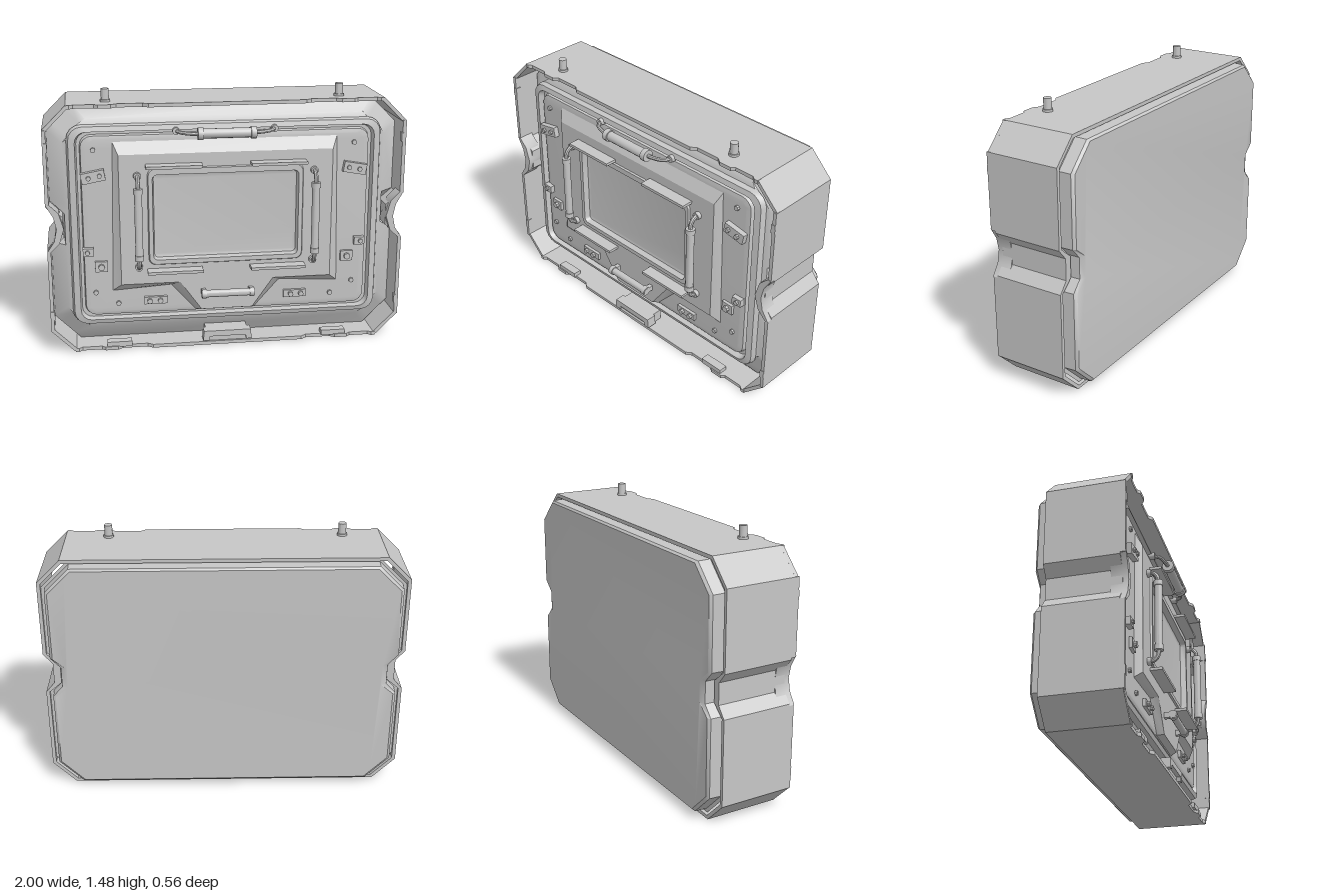
import * as THREE from 'three';
import { toCreasedNormals } from 'three/addons/utils/BufferGeometryUtils.js';

const V = (x, y, z) => new THREE.Vector3(x, y, z);

// Chamfered or rounded rectangle outline, counter-clockwise, with optional side notches
function outline(w, y0, y1, c, { round = false, notch = 0, cx = 0 } = {}) {
  const pts = [];
  const corner = (x, y, a) => {
    for (let i = 0; i <= 4; i++) {
      const t = i / 4, b = a + t * Math.PI / 2;
      const cs = Math.cos(a), sn = Math.sin(a);
      const u = round ? Math.cos(b) : cs * (1 - t) - sn * t;
      const v = round ? Math.sin(b) : sn * (1 - t) + cs * t;
      pts.push([cx + x + u * c, y + v * c]);
    }
  };
  const side = s => {
    const list = [[0, 0.61], [notch, 0.67], [notch, 0.79], [0, 0.85]];
    if (s < 0) list.reverse();
    list.forEach(([d, y]) => pts.push([cx + s * (w - d), y]));
  };
  corner(w - c, y0 + c, -Math.PI / 2);
  side(1);
  corner(w - c, y1 - c, 0);
  corner(-w + c, y1 - c, Math.PI / 2);
  side(-1);
  corner(-w + c, y0 + c, Math.PI);
  return pts;
}

const shapeOf = pts => new THREE.Shape(pts.map(p => new THREE.Vector2(p[0], p[1])));

// Skin between successive outlines, each given as [points, z]; optionally closed at the last
function loft(rings, cap = true) {
  const pos = [];
  for (let r = 0; r < rings.length - 1; r++) {
    const [A, za] = rings[r], [B, zb] = rings[r + 1];
    A.forEach((p, i) => {
      const j = (i + 1) % A.length;
      pos.push(...p, za, ...A[j], za, ...B[j], zb, ...p, za, ...B[j], zb, ...B[i], zb);
    });
  }
  if (cap) {
    const [P, z] = rings[rings.length - 1];
    const v = P.map(p => new THREE.Vector2(p[0], p[1]));
    THREE.ShapeUtils.triangulateShape(v, []).forEach(f => f.forEach(i => pos.push(...P[i], z)));
  }
  const g = new THREE.BufferGeometry();
  g.setAttribute('position', new THREE.Float32BufferAttribute(pos, 3));
  g.computeVertexNormals();
  return g;
}

const extrude = (shape, depth) => new THREE.ExtrudeGeometry(shape, { depth, bevelEnabled: false });

export function createModel() {
  const grey = new THREE.MeshStandardMaterial({ color: 0xc6c6c6 });
  grey.name = 'grey';
  const model = new THREE.Group();
  model.name = 'hatchCase';

  function add(name, geo, x = 0, y = 0, z = 0) {
    const m = new THREE.Mesh(toCreasedNormals(geo, 0.6), grey);
    m.name = name;
    m.position.set(x, y, z);
    model.add(m);
    return m;
  }
  const box = (name, w, h, d, x, y, z) => add(name, new THREE.BoxGeometry(w, h, d), x, y, z);
  // Cylinder along a chosen axis
  function rod(name, r, len, axis, x, y, z, sides = 14) {
    const g = new THREE.CylinderGeometry(r, r, len, sides);
    if (axis === 'x') g.rotateZ(Math.PI / 2);
    if (axis === 'z') g.rotateX(Math.PI / 2);
    return add(name, g, x, y, z);
  }
  const screw = (x, y, z, r = 0.013) => rod('screw', r, 0.02, 'z', x, y, z, 8);

  // Outer shell: hollow chamfered ring with grip notches
  const shell = shapeOf(outline(1, 0, 1.41, 0.13, { notch: 0.05 }));
  shell.holes.push(shapeOf(outline(0.98, 0.02, 1.39, 0.118, { notch: 0.07 })));
  add('shell', extrude(shell, 0.4), 0, 0, -0.215);

  // Notched rim along the top and bottom edges
  const half = [[0.43, 0.212], [0.46, 0.19], [0.6, 0.19], [0.63, 0.212], [0.7, 0.212],
    [0.72, 0.195], [0.83, 0.195], [0.85, 0.21], [0.87, 0.21], [0.87, 0.18]];
  const rim = [...half, ...half.map(([x, z]) => [-x, z]).reverse()];
  for (const y of [0, 1.39]) {
    const g = extrude(shapeOf(rim.map(([x, z]) => [x, -z])), 0.02);
    g.rotateX(-Math.PI / 2);
    add('rimEdge', g, 0, y, 0);
  }

  for (const s of [-1, 1]) {
    // Side and corner rims
    box('sideRim', 0.02, 0.47, 0.03, s * 0.99, 0.365, 0.197);
    box('sideRim', 0.02, 0.42, 0.03, s * 0.99, 1.07, 0.197);
    for (const [y, t] of [[0.072, 1], [1.338, -1]]) {
      const m = box('cornerRim', 0.18, 0.02, 0.02, s * 0.928, y, 0.195);
      m.rotation.z = s * t * Math.PI / 4;
    }
    for (const y of [0.225, 1.185]) box('edgeClip', 0.025, 0.05, 0.03, s * 0.987, y, 0.2);
    // Curved lip of the grip notch
    const lip = [[1, 0.6], [0.96, 0.66], [0.945, 0.73], [0.96, 0.8], [1, 0.87],
      [0.98, 0.87], [0.93, 0.82], [0.905, 0.73], [0.93, 0.65], [0.98, 0.6]];
    add('gripLip', extrude(shapeOf(lip.map(([x, y]) => [s * x, y])), 0.09), 0, 0, 0.125);
    // Pins on the top
    rod('pin', 0.022, 0.075, 'y', s * 0.645 - 0.012, 1.443, 0.11);
    rod('pinCollar', 0.028, 0.015, 'y', s * 0.645 - 0.012, 1.415, 0.11);
  }

  // Back cover, built facing forward and turned round
  const cover = add('backCover', loft([
    [outline(0.98, 0.02, 1.39, 0.143, { notch: 0.07 }), 0.195],
    [outline(0.958, 0.035, 1.382, 0.135, { notch: 0.055 }), 0.195],
    [outline(0.955, 0.037, 1.38, 0.135, { notch: 0.055 }), 0.262],
    [outline(0.94, 0.05, 1.37, 0.13, { notch: 0.07 }), 0.275],
  ]));
  cover.rotation.y = Math.PI;

  // Front panel: sloped surround, raised frame, groove and inner plate
  const R = { round: true };
  add('frontPanel', loft([
    [outline(0.98, 0.02, 1.39, 0.143, { notch: 0.07 }), 0.05],
    [outline(0.9, 0.11, 1.32, 0.13), 0.12],
    [outline(0.875, 0.14, 1.29, 0.08, R), 0.13],
    [outline(0.865, 0.147, 1.283, 0.075, R), 0.16],
    [outline(0.83, 0.172, 1.255, 0.06, R), 0.168],
    [outline(0.822, 0.178, 1.248, 0.06, R), 0.13],
    [outline(0.805, 0.192, 1.235, 0.06, R), 0.13],
    [outline(0.8, 0.198, 1.23, 0.06, R), 0.155],
    [outline(0.775, 0.212, 1.21, 0.05, R), 0.16],
  ]));

  // Raised centre plate with its lower apron
  const base = [[-0.65, 0.34], [-0.32, 0.36], [-0.18, 0.203], [0.16, 0.203], [0.3, 0.36],
    [0.64, 0.34], [0.62, 1.2], [-0.63, 1.2]];
  const face = [[-0.6, 0.385], [-0.27, 0.385], [-0.15, 0.215], [0.14, 0.215], [0.26, 0.385],
    [0.59, 0.385], [0.59, 1.13], [-0.6, 1.13]];
  add('centrePlateSlope', loft([[base, 0.158], [face, 0.195]], false));
  const C = { round: true, cx: -0.01 };
  const plate = shapeOf(face);
  plate.holes.push(shapeOf(outline(0.42, 0.515, 1.035, 0.03, C)));
  add('centrePlate', new THREE.ShapeGeometry(plate), 0, 0, 0.195);

  // Window bezel and sunken window
  add('window', loft([
    [outline(0.435, 0.495, 1.052, 0.04, C), 0.195],
    [outline(0.43, 0.5, 1.047, 0.038, C), 0.205],
    [outline(0.408, 0.525, 1.015, 0.025, C), 0.205],
    [outline(0.4, 0.532, 1.008, 0.02, C), 0.172],
    [outline(0.385, 0.545, 0.995, 0.012, C), 0.168],
  ]));

  // Slats above and below the window
  for (const x of [-0.3, 0.28]) for (const y of [1.067, 0.465])
    box('slat', 0.31, 0.016, 0.07, x, y, 0.227);

  // Upright handles on bent stems
  for (const x of [-0.5, 0.485]) {
    rod('handleBar', 0.022, 0.4, 'y', x, 0.75, 0.255);
    for (const s of [-1, 1]) {
      rod('handleCollar', 0.026, 0.03, 'y', x, 0.75 + s * 0.19, 0.255);
      const path = new THREE.CatmullRomCurve3([V(x, 0.75 + s * 0.2, 0.255),
        V(x, 0.75 + s * 0.235, 0.25), V(x, 0.75 + s * 0.26, 0.225), V(x, 0.75 + s * 0.262, 0.19)]);
      add('handleStem', new THREE.TubeGeometry(path, 10, 0.012, 8));
      rod('handleFoot', 0.021, 0.025, 'z', x, 0.75 + s * 0.262, 0.205);
    }
  }

  // Top handle across the frame
  rod('topHandle', 0.027, 0.32, 'x', -0.01, 1.243, 0.232);
  for (const s of [-1, 1]) {
    rod('topHandleCollar', 0.034, 0.03, 'x', -0.01 + s * 0.145, 1.243, 0.232);
    const X = d => -0.01 + s * d;
    const path = new THREE.CatmullRomCurve3([V(X(0.15), 1.243, 0.232), V(X(0.2), 1.243, 0.225),
      V(X(0.255), 1.248, 0.205), V(X(0.272), 1.25, 0.15)]);
    add('topHandleStem', new THREE.TubeGeometry(path, 10, 0.011, 8));
    rod('topHandleFoot', 0.02, 0.04, 'z', X(0.272), 1.25, 0.165);
  }

  // Lower handle on the apron
  rod('lowerHandle', 0.021, 0.3, 'x', -0.005, 0.325, 0.243);
  for (const s of [-1, 1]) {
    rod('lowerHandleCollar', 0.026, 0.025, 'x', -0.005 + s * 0.135, 0.325, 0.243);
    box('lowerHandleMount', 0.025, 0.03, 0.05, -0.005 + s * 0.135, 0.325, 0.215);
  }

  // Brackets, clips and screws on both sides of the inner plate
  for (const s of [-1, 1]) {
    const X = x => s * x - 0.008;
    const arm = box('bracket', 0.13, 0.06, 0.03, X(0.73), 1.01, 0.175);
    arm.rotation.z = -s * 0.18;
    screw(X(0.695), 1.017, 0.193);
    screw(X(0.755), 1.005, 0.193);
    box('clip', 0.06, 0.045, 0.035, X(0.77), 0.58, 0.17);
    screw(X(0.775), 0.58, 0.19);
    box('latchPad', 0.07, 0.06, 0.02, X(0.7), 0.49, 0.168);
    screw(X(0.7), 0.49, 0.185, 0.018);
    box('boltPlate', 0.13, 0.042, 0.02, X(0.4), 0.275, 0.168);
    screw(X(0.435), 0.275, 0.185, 0.015);
    screw(X(0.375), 0.275, 0.185, 0.015);
    for (const [x, y] of [[0.725, 1.155], [0.735, 0.335], [0.61, 0.265]]) screw(X(x), y, 0.164, 0.014);
  }

  // Tab and small catches at the lower front edge
  const tab = [[-0.145, 0.03], [-0.11, 0.03], [-0.105, 0.055], [0.1, 0.055], [0.105, 0.03],
    [0.135, 0.03], [0.13, 0.088], [-0.14, 0.088]];
  add('bottomTab', extrude(shapeOf(tab), 0.06), 0, 0, 0.165);
  box('bottomTabBack', 0.24, 0.07, 0.1, -0.005, 0.05, 0.15);
  for (const x of [-0.62, 0.62]) box('bottomCatch', 0.14, 0.03, 0.05, x, 0.03, 0.18);

  return model;
}
